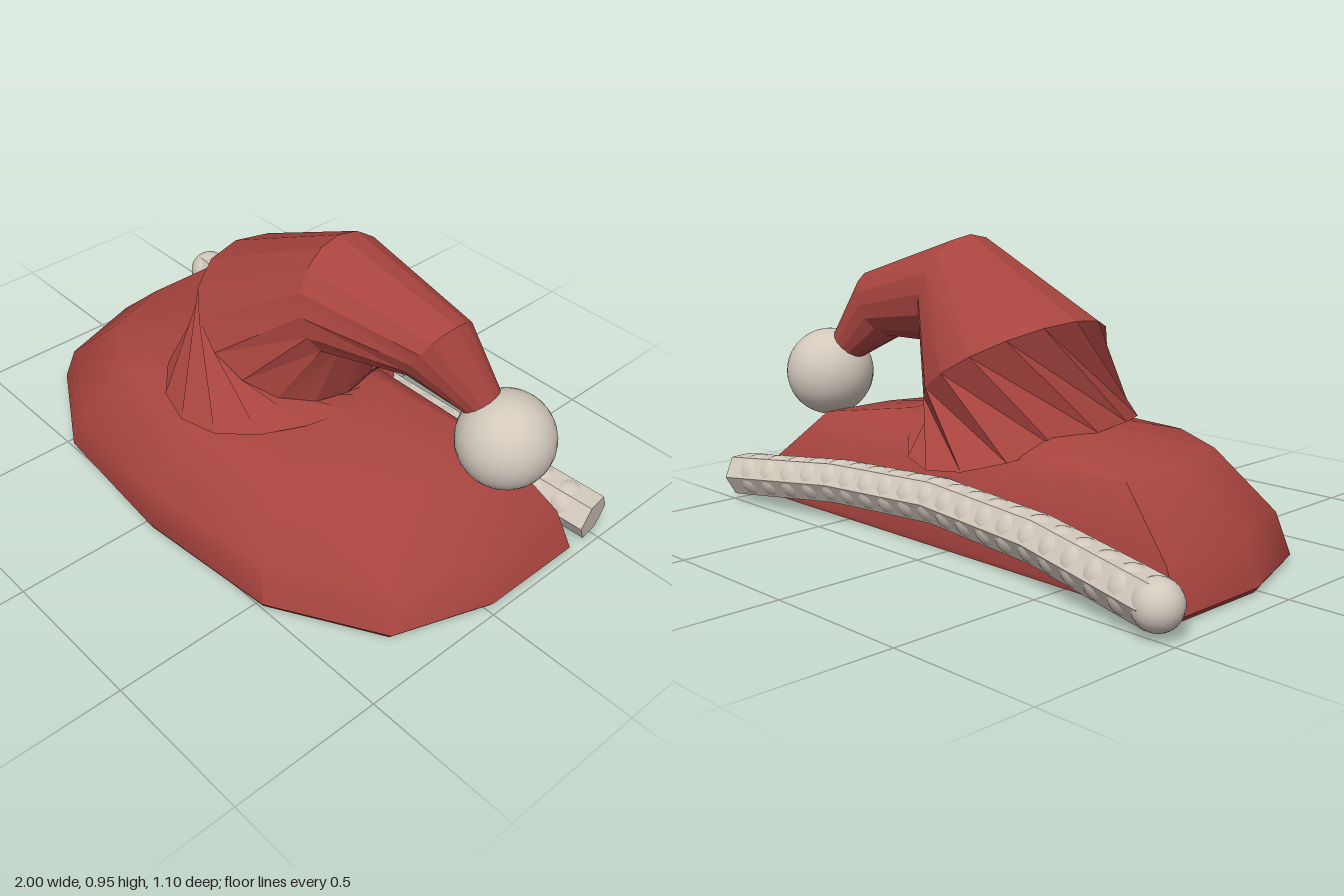
import * as THREE from 'three';
import { toCreasedNormals } from 'three/addons/utils/BufferGeometryUtils.js';

const V = (x, y, z) => new THREE.Vector3(x, y, z);

// Skins a stack of closed rings; crease is the angle above which edges stay sharp
function loft(rings, crease, capStart, capEnd) {
  const n = rings[0].length, pos = [], index = [];
  rings.forEach(r => r.forEach(p => pos.push(p.x, p.y, p.z)));
  for (let j = 0; j < rings.length - 1; j++) {
    for (let i = 0; i < n; i++) {
      const k = (i + 1) % n, a = j * n, b = a + n;
      index.push(a + i, b + i, a + k, a + k, b + i, b + k);
    }
  }
  const cap = (j, flip) => {
    const c = V(0, 0, 0);
    rings[j].forEach(p => c.addScaledVector(p, 1 / n));
    const id = pos.push(c.x, c.y, c.z) / 3 - 1;
    for (let i = 0; i < n; i++) {
      const a = j * n + i, b = j * n + (i + 1) % n;
      flip ? index.push(id, a, b) : index.push(id, b, a);
    }
  };
  if (capStart) cap(0, true);
  if (capEnd) cap(rings.length - 1, false);
  const g = new THREE.BufferGeometry();
  g.setAttribute('position', new THREE.Float32BufferAttribute(pos, 3));
  g.setIndex(index);
  return toCreasedNormals(g, crease);
}

export function createModel() {
  const group = new THREE.Group();
  const red = new THREE.MeshStandardMaterial({ color: 0xa8443f, side: THREE.DoubleSide });
  red.name = 'red felt';
  const cream = new THREE.MeshStandardMaterial({ color: 0xd2c8bc });
  cream.name = 'cream fur';
  const add = (name, geo, mat, parent = group) => {
    const m = new THREE.Mesh(geo, mat);
    m.name = name;
    parent.add(m);
    return m;
  };

  // Wide base: half-round outline, flat along the back, shrinking upwards
  const outline = [[0.945, -0.02], [0.835, 0.3], [0.495, 0.5], [0, 0.545], [-0.495, 0.5],
    [-0.835, 0.3], [-0.945, -0.02], [-0.945, -0.38], [0, -0.38], [0.945, -0.38]];
  // y, width scale, front depth, back depth
  const levels = [[0, 0.985, 0.535, 0.375], [0.018, 1, 0.545, 0.38], [0.145, 0.943, 0.52, 0.36],
    [0.325, 0.725, 0.39, 0.29], [0.375, 0.36, 0.16, 0.2]];
  const baseRings = levels.map(([y, s, f, b]) => outline.map(([x, z]) =>
    V(0.035 + x * s, y, z > 0 ? z * f / 0.545 : z * b / 0.38)));
  add('base', loft(baseRings, 0.75, true, true), red);

  // Hat: twisted skirt flowing into a cone that bends over sideways
  const sides = 16;
  const ring = f => Array.from({ length: sides }, (_, i) => f(i / sides * Math.PI * 2));
  const skirtRing = ring(t => {
    const a = t - 1.15;
    return V(0.015 + 0.335 * Math.cos(a), 0.34 + 0.035 * Math.cos(2 * a) + 0.04 * Math.sin(a),
      -0.03 + 0.41 * Math.sin(a));
  });
  // centre, direction from centre to the underside, half depth
  const bends = [
    [0.03, 0.555, -0.055, 0.27, -0.155, 0.315],
    [0.285, 0.765, -0.05, 0.045, -0.185, 0.19],
    [0.60, 0.70, -0.12, -0.06, -0.11, 0.12],
    [0.74, 0.535, -0.185, -0.05, -0.035, 0.06],
  ].map(([x, y, z, ux, uy, d]) => ring(a =>
    V(x + ux * Math.cos(a), y + uy * Math.cos(a), z + d * Math.sin(a))));
  add('hatSkirt', loft([skirtRing, bends[0]], 0.1), red);
  add('hatCone', loft(bends, 0.3, false, true), red);

  // Pompom on the tip
  add('pompom', new THREE.SphereGeometry(0.152, 28, 20), cream).position.set(0.81, 0.447, -0.207);

  // Fur trim along the back: bent six-sided roll
  const path = [V(-0.925, 0.09, -0.48), V(-0.43, 0.137, -0.405), V(0.04, 0.155, -0.378),
    V(0.5, 0.137, -0.405), V(0.985, 0.09, -0.475)];
  const trim = new THREE.Group();
  trim.name = 'furTrim';
  group.add(trim);
  const trimRings = path.map((p, j) => {
    const t = path[Math.min(j + 1, 4)].clone().sub(path[Math.max(j - 1, 0)]).normalize();
    const side = V(0, 1, 0).cross(t).normalize(), up = t.clone().cross(side);
    return Array.from({ length: 6 }, (_, i) => {
      const a = -i * Math.PI / 3;
      return p.clone().addScaledVector(side, 0.075 * Math.cos(a)).addScaledVector(up, 0.075 * Math.sin(a));
    });
  });
  add('trimRoll', loft(trimRings, 0.4, true, true), cream, trim);

  // Rounded end and rows of soft bumps along the roll
  add('trimEnd', new THREE.SphereGeometry(0.074, 20, 14), cream, trim).position.copy(path[0]);
  const bump = new THREE.SphereGeometry(0.073, 16, 12);
  for (let i = 1; i < 20; i++) {
    const s = i / 20 * 4, j = Math.floor(s);
    add('trimBump', bump, cream, trim).position.lerpVectors(path[j], path[j + 1], s - j);
  }
  return group;
}
